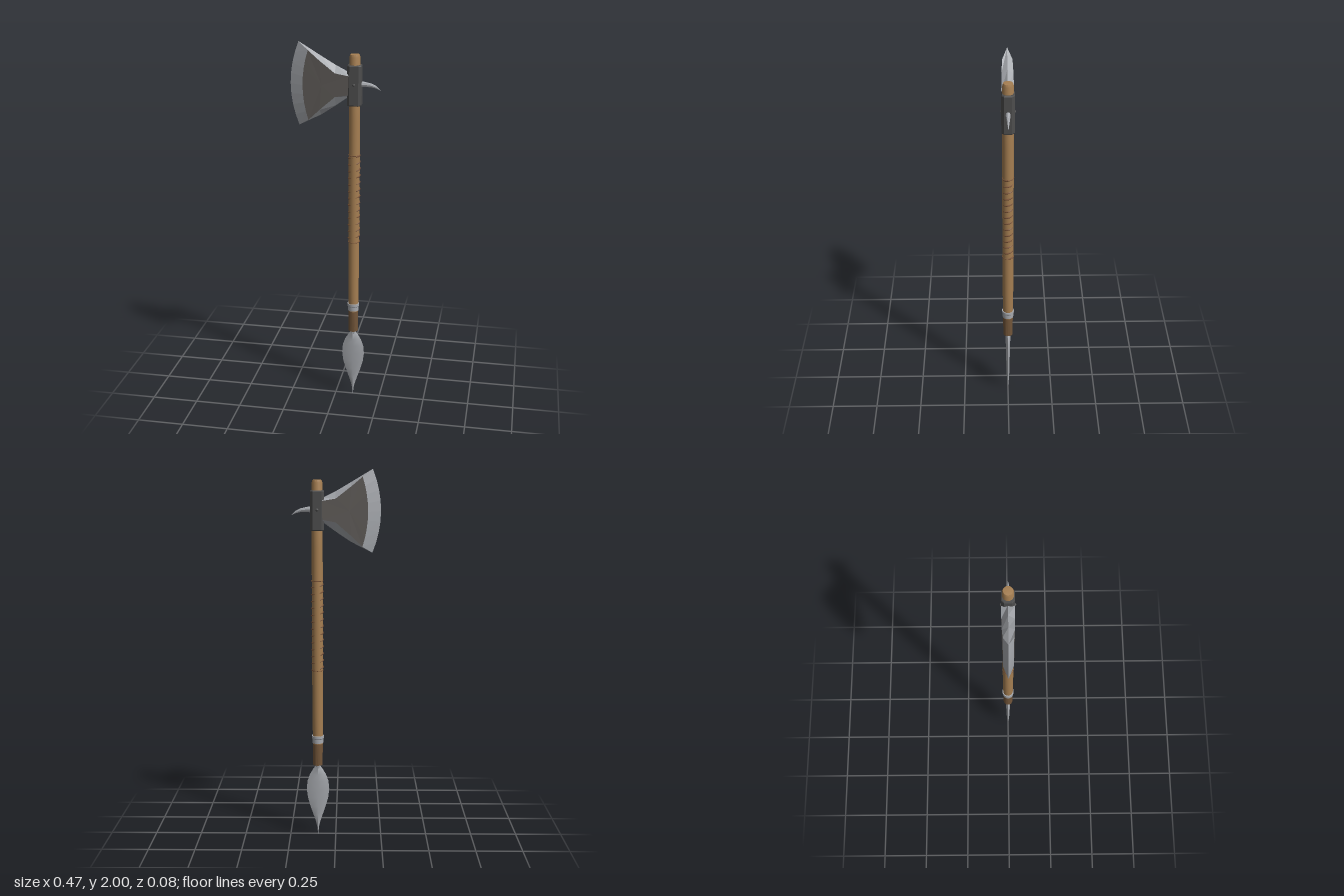
import * as THREE from 'three';
import { toCreasedNormals } from 'three/addons/utils/BufferGeometryUtils.js';

const AXIS = 0.098; // x of the shaft
const mat = (color, flatShading = false) => {
  const m = new THREE.MeshStandardMaterial({ flatShading, side: THREE.DoubleSide });
  m.color.set(color);
  return m;
};
const V = (x, y, z) => new THREE.Vector3(x, y, z);
const lathe = (pts, n = 16) =>
  new THREE.LatheGeometry(pts.map(([r, y]) => new THREE.Vector2(r, y)), n);

// Triangles from a list of quads or triangles
function polys(faces) {
  const pos = [];
  const put = p => pos.push(p.x, p.y, p.z);
  for (const f of faces) for (let i = 1; i < f.length - 1; i++) [f[0], f[i], f[i + 1]].forEach(put);
  const g = new THREE.BufferGeometry();
  g.setAttribute('position', new THREE.Float32BufferAttribute(pos, 3));
  g.computeVertexNormals();
  return g;
}

// Skin over a row of equal-length closed rings, running downwards
function loft(rings) {
  const faces = [];
  for (let k = 0; k < rings.length - 1; k++) {
    const a = rings[k], b = rings[k + 1], n = a.length;
    for (let i = 0; i < n; i++) {
      const j = (i + 1) % n;
      faces.push([a[i], b[i], b[j]], [a[i], b[j], a[j]]);
    }
  }
  return polys(faces);
}

export function createModel() {
  const group = new THREE.Group();
  const wood = mat(0xa67f52), darkWood = mat(0x73563a), wrap = mat(0x80583c);
  const steel = mat(0xa6a9ae), steelFlat = mat(0xa6a9ae, true);
  const iron = mat(0x4d4d4d, true), darkSteel = mat(0x5e5a57, true);
  const add = (name, geometry, material, x = AXIS, y = 0, z = 0) => {
    const m = new THREE.Mesh(geometry, material);
    m.name = name;
    m.position.set(x, y, z);
    group.add(m);
    return m;
  };

  // Shaft with a darker lower end
  add('shaft', toCreasedNormals(lathe(
    [[0.027, 0.52], [0.029, 0.7], [0.03, 1.1], [0.029, 1.6], [0.028, 1.93], [0.024, 1.943], [0, 1.946]]), 0.7), wood);
  add('shaftFoot', toCreasedNormals(lathe([[0, 0.4], [0.026, 0.4], [0.027, 0.53]]), 0.7), darkWood);

  // Metal band
  add('band', toCreasedNormals(lathe(
    [[0.026, 0.525], [0.03, 0.525], [0.03, 0.548], [0.033, 0.552], [0.033, 0.566], [0.027, 0.566]]), 0.5), steel);

  // Grip cord, surfacing on the two narrow sides of the shaft
  const turns = 13, cord = [];
  for (let i = 0; i <= turns * 16; i++) {
    const a = i / 16 * Math.PI * 2;
    cord.push(V(Math.cos(a) * 0.0295, 0.93 + 0.485 * i / (turns * 16), -Math.sin(a) * 0.0245));
  }
  add('gripCord', new THREE.TubeGeometry(new THREE.CatmullRomCurve3(cord), turns * 18, 0.0045, 6), wrap);
  for (const y of [0.93, 1.415])
    add('gripRing', new THREE.TorusGeometry(0.0295, 0.0025, 6, 20).rotateX(Math.PI / 2), wrap, AXIS, y);

  // Collar: chamfered block around the shaft
  const w = 0.034, d = 0.03, c = 0.012;
  const plan = new THREE.Shape([[w, -d + c], [w, d - c], [w - c, d], [c - w, d], [-w, d - c], [-w, c - d], [c - w, -d], [w - c, -d]]
    .map(p => new THREE.Vector2(...p)));
  plan.holes.push(new THREE.Path().absarc(0, 0, 0.025, 0, Math.PI * 2, true));
  add('collar', new THREE.ExtrudeGeometry(plan, {
    depth: 0.2, bevelSize: 0.003, bevelThickness: 0.005, bevelSegments: 1, curveSegments: 8,
  }).rotateX(-Math.PI / 2), iron, AXIS, 1.685);
  for (const s of [1, -1])
    add('rivet', new THREE.SphereGeometry(0.008, 10, 8).scale(1, 1, 0.8), iron, AXIS, 1.79, s * 0.033);

  // Axe blade: thin rim at z = 0, raised cheek inside; loops run top, edge, bottom
  const rim = [[0.07, 1.85], [0, 1.885], [-0.08, 1.932], [-0.193, 2]];
  const cheek = [[0.07, 1.836, 0.033], [0, 1.848, 0.032], [-0.08, 1.91, 0.03], [-0.14, 1.96, 0.026]];
  for (let i = 1; i <= 8; i++) {
    const t = i / 4 - 1, k = t * t;
    rim.push([-0.237 + 0.044 * k, 1.782 - 0.218 * t]);
    cheek.push([-0.169 + 0.029 * k, 1.779 - 0.181 * t, 0.026]);
  }
  rim.push([-0.077, 1.623], [0, 1.675], [0.07, 1.725]);
  cheek.push([-0.08, 1.655, 0.03], [0, 1.725, 0.032], [0.07, 1.738, 0.033]);
  for (const s of [1, -1]) {
    const side = s > 0 ? 'front' : 'back';
    const R = rim.map(([x, y]) => V(x, y, 0)), C = cheek.map(([x, y, z]) => V(x, y, s * z));
    const mid = V(-0.07, 1.785, s * 0.03), flat = [], bevel = [];
    for (let i = 0; i < R.length - 1; i++) {
      flat.push([mid, C[i], C[i + 1]]);
      bevel.push([C[i], R[i], R[i + 1], C[i + 1]]);
    }
    flat.push([mid, C[C.length - 1], C[0]]);
    if (s < 0) [...flat, ...bevel].forEach(f => f.reverse());
    add(side + 'BladeCheek', polys(flat), darkSteel, 0);
    add(side + 'BladeBevel', polys(bevel), steelFlat, 0);
  }

  // Rear spike: tapering, drooping horn; columns are x, centre y, half height, half depth
  const spike = [[0.12, 1.791, 0.017, 0.014], [0.155, 1.79, 0.013, 0.011], [0.185, 1.786, 0.01, 0.008],
    [0.21, 1.777, 0.007, 0.005], [0.235, 1.76, 0.0005, 0.0005]];
  add('rearSpike', toCreasedNormals(loft(spike.map(([x, y, h, z]) => Array.from({ length: 8 }, (_, i) => {
    const a = -i / 8 * Math.PI * 2;
    return V(x, y + Math.sin(a) * h, Math.cos(a) * z);
  })).reverse()), 0.6), steel, 0);

  // Spear point: leaf with a lens section; columns are y, half width, half thickness
  const leaf = [[0.4, 0.008, 0.014], [0.375, 0.026, 0.0135], [0.345, 0.044, 0.013], [0.305, 0.058, 0.012],
    [0.26, 0.062, 0.011], [0.21, 0.056, 0.01], [0.16, 0.042, 0.009], [0.11, 0.025, 0.008],
    [0.07, 0.012, 0.006], [0.04, 0.005, 0.004], [0, 0.0005, 0.0005]];
  add('spearPoint', toCreasedNormals(loft(leaf.map(([y, hw, t]) => Array.from({ length: 8 }, (_, i) => {
    const a = -i / 8 * Math.PI * 2, u = Math.cos(a);
    return V(u * hw, y, -Math.sign(Math.round(Math.sin(a) * 9)) * t * (1 - Math.abs(u) ** 1.5) * -1);
  })).map(r => r.reverse())), 0.6), steel);
  // Socket tang running into the leaf
  add('spearSocket', new THREE.CylinderGeometry(0.016, 0.004, 0.09, 10), steel, AXIS, 0.365);

  return group;
}
